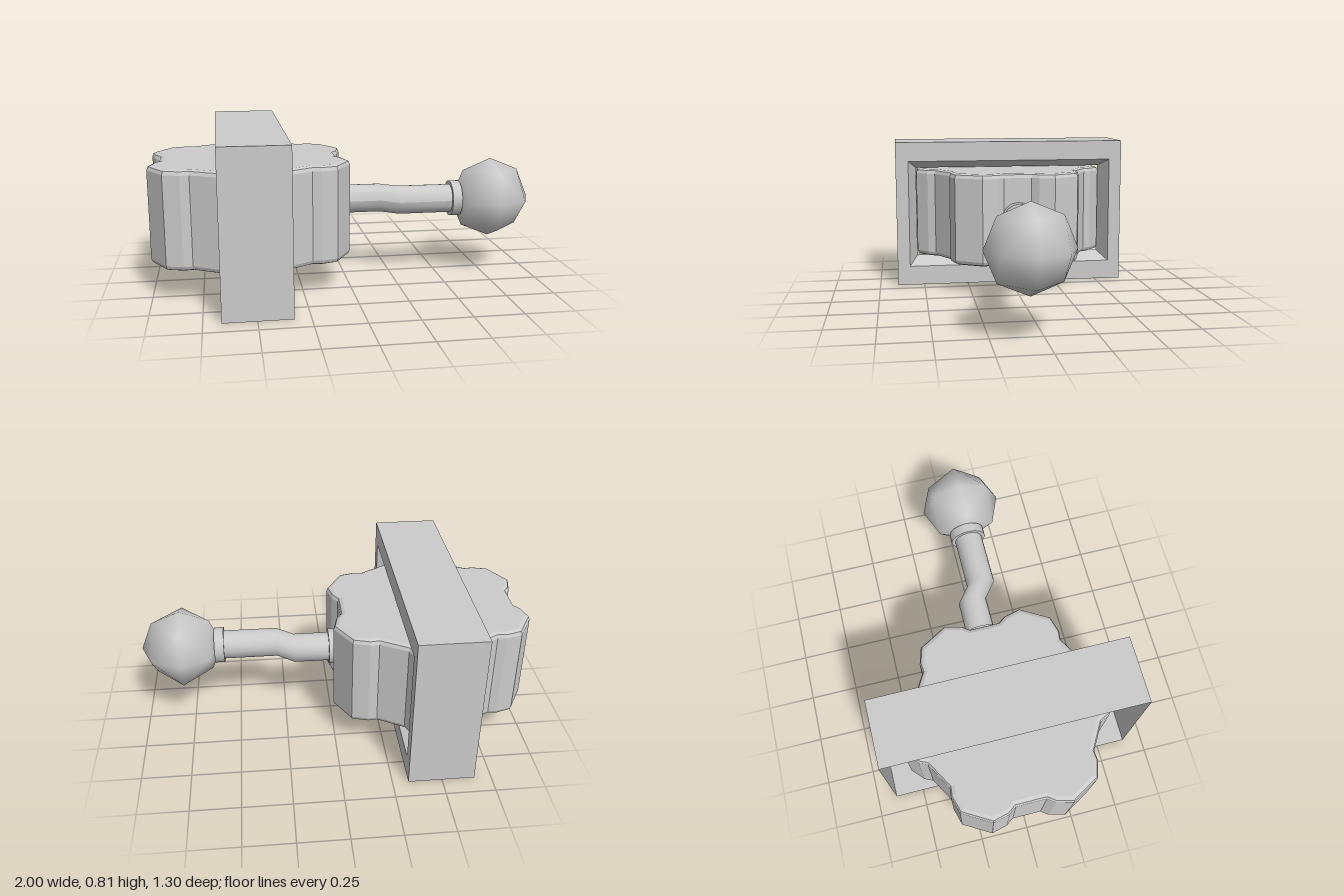
import * as THREE from 'three';

const MID_Y = 0.41;

function add(group, name, geometry, doubleSided = false) {
  const material = new THREE.MeshStandardMaterial({ color: 0xcccccc });
  if (doubleSided) material.side = THREE.DoubleSide;
  const mesh = new THREE.Mesh(geometry, material);
  mesh.name = name;
  group.add(mesh);
  return mesh;
}

// Rectangular loops along x, skinned with flat faces: [x, half depth, half height]
function rectangleLoft(loops) {
  const corners = [[1, -1], [-1, -1], [-1, 1], [1, 1]];
  const point = ([x, hz, hy], i) => {
    const [sz, sy] = corners[i % 4];
    return [x, sy * hy, sz * hz];
  };
  const positions = [];
  for (let k = 0; k < loops.length - 1; k++) {
    for (let i = 0; i < 4; i++) {
      const a = point(loops[k], i), b = point(loops[k], i + 1);
      const c = point(loops[k + 1], i + 1), d = point(loops[k + 1], i);
      positions.push(...a, ...b, ...c, ...a, ...c, ...d);
    }
  }
  const geometry = new THREE.BufferGeometry();
  geometry.setAttribute('position', new THREE.Float32BufferAttribute(positions, 3));
  geometry.computeVertexNormals();
  return geometry;
}

// Six-lobed outline with flat lobes and shallow flat notches
function lobedShape(inset) {
  const lobe = [[-19, 0.463], [-15, 0.5], [-8, 0.538], [8, 0.538], [15, 0.5], [19, 0.463]];
  const points = [];
  for (let n = 0; n < 6; n++) {
    for (const [degrees, radius] of lobe) {
      const angle = THREE.MathUtils.degToRad(30 + n * 60 + degrees);
      const r = radius - inset;
      points.push(new THREE.Vector2(Math.cos(angle) * r, Math.sin(angle) * r));
    }
  }
  return new THREE.Shape(points);
}

// Disc along the x axis
function collar(x0, x1, radius) {
  const geometry = new THREE.CylinderGeometry(radius, radius, x1 - x0, 16);
  geometry.rotateZ(-Math.PI / 2);
  geometry.translate((x0 + x1) / 2, 0, 0);
  return geometry;
}

export function createModel() {
  const model = new THREE.Group();
  model.name = 'lobedKnobWithLever';

  // Surrounding housing: open at the back, framed opening tapering inward
  const housing = add(model, 'housing', rectangleLoft([
    [-0.665, 0.65, 0.4075],
    [-0.33, 0.65, 0.4075],
    [-0.33, 0.58, 0.3],
    [-0.44, 0.535, 0.256],
  ]), true);
  housing.position.y = 0.4075;

  // Lobed wheel with softened rims
  const bevel = 0.025;
  const wheelGeometry = new THREE.ExtrudeGeometry(lobedShape(bevel), {
    depth: 0.5 - 2 * bevel, bevelEnabled: true,
    bevelSize: bevel, bevelThickness: bevel, bevelSegments: 2,
  });
  wheelGeometry.translate(0, 0, bevel - 0.25);
  wheelGeometry.rotateX(-Math.PI / 2);
  const wheel = add(model, 'lobedWheel', wheelGeometry);
  wheel.position.set(-0.5, MID_Y, 0);

  // Lever arm, stepped sideways along its length
  const stations = [[-0.02, -0.005], [0.195, -0.005], [0.285, 0.063], [0.6, 0.063]];
  const armGeometry = new THREE.CylinderGeometry(0.076, 0.076, 3, 16, 3);
  armGeometry.rotateZ(-Math.PI / 2);
  const p = armGeometry.attributes.position;
  for (let i = 0; i < p.count; i++) {
    const [x, z] = stations[Math.round(p.getX(i) + 1.5)];
    p.setX(i, x);
    p.setZ(i, p.getZ(i) + z);
  }
  armGeometry.computeVertexNormals();
  add(model, 'leverArm', armGeometry).position.y = MID_Y;

  // Collars at both ends of the arm
  add(model, 'innerCollar', collar(-0.06, 0.013, 0.094)).position.set(0, MID_Y, -0.005);
  add(model, 'outerCollar', collar(0.565, 0.615, 0.095)).position.set(0, MID_Y, 0.063);

  // Low-poly ball handle with smooth shading
  const ball = add(model, 'ballHandle', new THREE.OctahedronGeometry(0.213, 1));
  ball.position.set(0.787, MID_Y, 0.068);

  return model;
}
